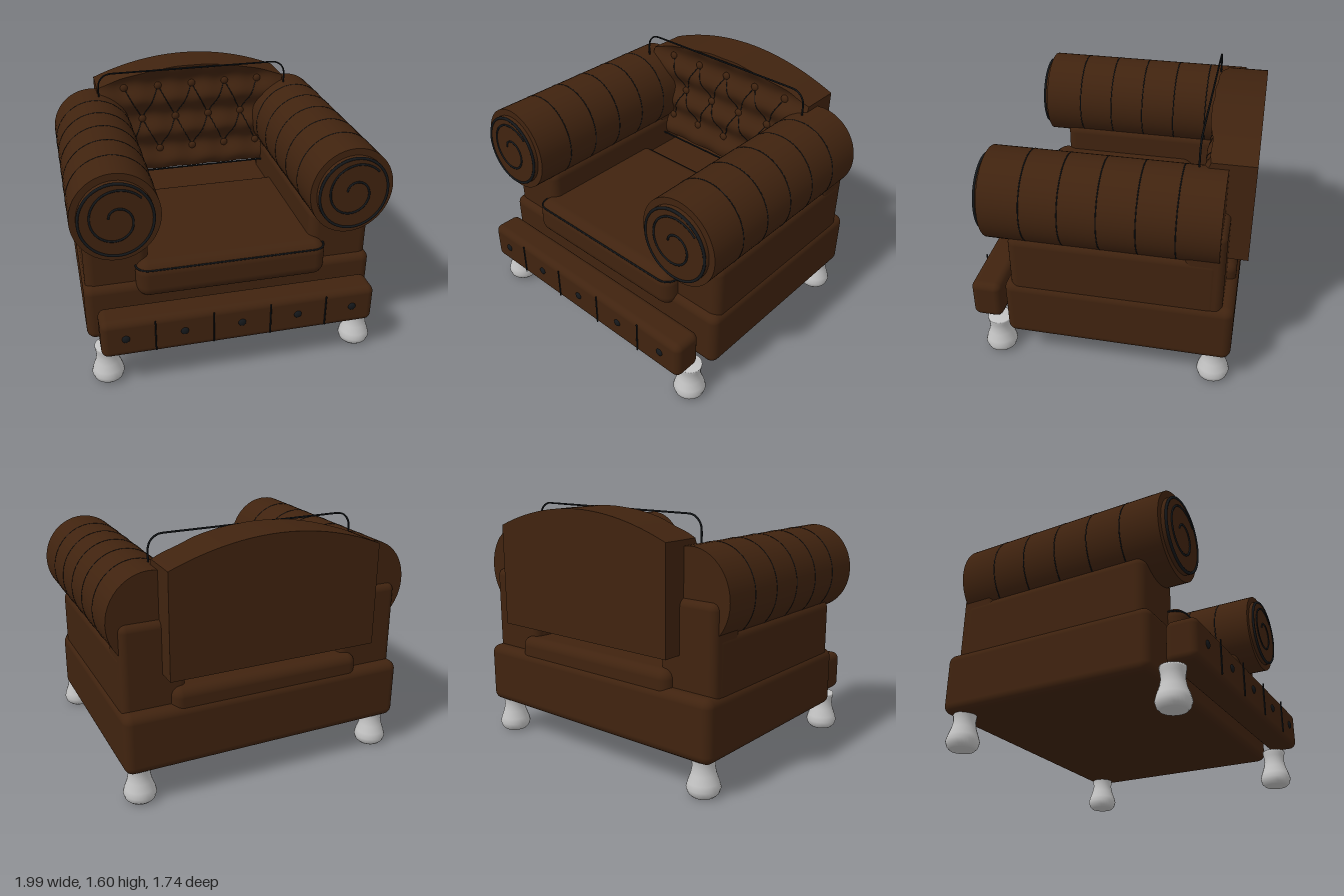
import * as THREE from 'three';
import { RoundedBoxGeometry } from 'three/addons/geometries/RoundedBoxGeometry.js';

export function createModel() {
  const model = new THREE.Group();
  model.name = 'armchair';

  const material = (name, color) => {
    const m = new THREE.MeshStandardMaterial({ color });
    m.name = name;
    return m;
  };
  const leather = material('brown leather', 0x40230f);
  const piping = material('black piping', 0x14171a);
  const metal = material('silver', 0xc4c4c4);

  const add = (name, geometry, mat, x = 0, y = 0, z = 0, parent = model) => {
    const mesh = new THREE.Mesh(geometry, mat);
    mesh.name = name;
    mesh.position.set(x, y, z);
    parent.add(mesh);
    return mesh;
  };
  // Rounded box given by its limits on each axis
  const block = (name, [x0, x1], [y0, y1], [z0, z1], r) =>
    add(name, new RoundedBoxGeometry(x1 - x0, y1 - y0, z1 - z0, 5, r), leather,
      (x0 + x1) / 2, (y0 + y1) / 2, (z0 + z1) / 2);
  // Closed rounded rectangle of piping, centred in the XY plane
  const pipingLoop = (w, h, r) => {
    const path = new THREE.CurvePath();
    const pts = [];
    for (let c = 0; c < 4; c++) {
      const cx = (c === 0 || c === 3 ? 1 : -1) * (w / 2 - r);
      const cy = (c < 2 ? 1 : -1) * (h / 2 - r);
      for (let i = 0; i <= 6; i++) {
        const a = (c + i / 6) * Math.PI / 2;
        pts.push(new THREE.Vector3(cx + r * Math.cos(a), cy + r * Math.sin(a), 0));
      }
    }
    pts.forEach((p, i) => path.add(new THREE.LineCurve3(p, pts[(i + 1) % pts.length])));
    return new THREE.TubeGeometry(path, 240, 0.006, 6, true);
  };

  // Base and seat
  block('base', [-0.943, 0.943], [0.218, 0.61], [-0.818, 0.604], 0.055);
  block('seatCushion', [-0.615, 0.615], [0.515, 0.765], [-0.39, 0.66], 0.08);
  block('rearCushion', [-0.63, 0.63], [0.52, 0.715], [-0.803, -0.3], 0.06);
  add('seatPiping', pipingLoop(1.226, 1.04, 0.08), piping, 0, 0.723, 0.133).rotation.x = Math.PI / 2;

  // Front rail with seams and studs
  block('frontRail', [-0.877, 0.877], [0.257, 0.515], [0.66, 0.855], 0.045);
  for (const x of [-0.545, -0.182, 0.182, 0.545])
    add('railSeam', new THREE.CylinderGeometry(0.005, 0.005, 0.215, 6), piping, x, 0.393, 0.862);
  const stud = new THREE.SphereGeometry(0.025, 16, 10);
  for (let i = -2; i <= 2; i++)
    add('railStud', stud, piping, i * 0.3635, 0.393, 0.855).scale.z = 0.5;

  // Legs
  const legProfile = [[0, 0], [0.075, 0], [0.093, 0.018], [0.103, 0.05], [0.094, 0.085], [0.076, 0.135],
    [0.068, 0.175], [0.071, 0.21], [0.076, 0.235], [0.076, 0.248], [0, 0.248]];
  const legGeometry = new THREE.LatheGeometry(legProfile.map(p => new THREE.Vector2(...p)), 28);
  for (const x of [-0.835, 0.835])
    for (const z of [0.693, -0.714]) add('leg', legGeometry, metal, x, 0, z);

  // Arms
  const rollProfile = [[0, -0.71], [0.285, -0.71], [0.285, -0.71], [0.285, 0.695], [0.285, 0.695], [0.242, 0.695],
    [0.242, 0.695], [0.242, 0.712], [0.232, 0.726], [0.22, 0.728], [0, 0.728]];
  const rollGeometry = new THREE.LatheGeometry(rollProfile.map(p => new THREE.Vector2(...p)), 48);
  rollGeometry.rotateX(Math.PI / 2);
  const spiralPoints = [];
  for (let d = 0; d <= 480; d += 12) {
    const a = (160 - d) * Math.PI / 180, r = 0.05 + 0.00033 * d;
    spiralPoints.push(new THREE.Vector3(r * Math.cos(a), r * Math.sin(a), 0));
  }
  const spiral = new THREE.TubeGeometry(new THREE.CatmullRomCurve3(spiralPoints), 140, 0.007, 6);
  for (const s of [-1, 1]) {
    const span = (a, b) => s > 0 ? [a, b] : [-b, -a];
    block('armPanel', span(0.525, 0.928), [0.54, 0.957], [-0.725, 0.566], 0.06);
    block('rearPost', span(0.53, 0.926), [0.54, 1.135], [-0.745, -0.5], 0.045);
    const arm = new THREE.Group();
    arm.name = 'armRoll';
    arm.position.set(s * 0.725, 1.145, 0);
    arm.scale.x = 0.945;
    model.add(arm);
    add('roll', rollGeometry, leather, 0, 0, 0, arm);
    for (let i = -2; i <= 2; i++)
      add('rollSeam', new THREE.TorusGeometry(0.283, 0.004, 6, 64), piping, 0, 0, -0.008 + i * 0.226, arm);
    add('scrollRing', new THREE.TorusGeometry(0.234, 0.009, 8, 64), piping, 0, 0, 0.725, arm);
    add('scroll', spiral, piping, 0, 0, 0.729, arm);
  }

  // Backrest: arched top and a tufted front
  const topAt = x => 1.46 + 0.14 * (1 - (x / 0.68) ** 2);
  const frontAt = (x, y) => -0.583
    + 0.023 * Math.cos(2 * Math.PI * (1.595 - y) / 0.2425)
    - 0.01 * Math.cos(2 * Math.PI * x / 0.245) * Math.cos(Math.PI * (y - 1.45) / 0.2425);
  const back = new THREE.BoxGeometry(1.36, 1, 1, 80, 60, 1);
  const pos = back.attributes.position;
  for (let i = 0; i < pos.count; i++) {
    const x = pos.getX(i);
    const y = 0.81 + (pos.getY(i) + 0.5) * (topAt(x) - 0.81);
    pos.setXYZ(i, x, y, pos.getZ(i) > 0 ? frontAt(x, y) : -0.868);
  }
  back.computeVertexNormals();
  add('backrest', back, leather);
  add('backPiping', pipingLoop(1.35, 0.765, 0.09), piping, 0, 1.2025, -0.542);

  // Tufting buttons and the creases between them
  const rows = [1.45, 1.2075, 0.962];
  const button = new THREE.SphereGeometry(0.027, 16, 10);
  rows.forEach((y, r) => {
    const n = r === 1 ? 4 : 5;
    for (let i = 0; i < n; i++) {
      const x = (i - (n - 1) / 2) * 0.245;
      add('tuftButton', button, leather, x, y, frontAt(x, y) + 0.004).scale.z = 0.6;
      if (r !== 1) continue;
      for (const end of [rows[0], rows[2]]) for (const side of [-0.1225, 0.1225]) {
        const pts = [];
        for (let k = 0; k <= 8; k++) {
          const px = x + side * k / 8, py = y + (end - y) * k / 8;
          pts.push(new THREE.Vector3(px, py, frontAt(px, py)));
        }
        add('tuftCrease', new THREE.TubeGeometry(new THREE.CatmullRomCurve3(pts), 16, 0.003, 5), piping);
      }
    }
  });
  return model;
}
